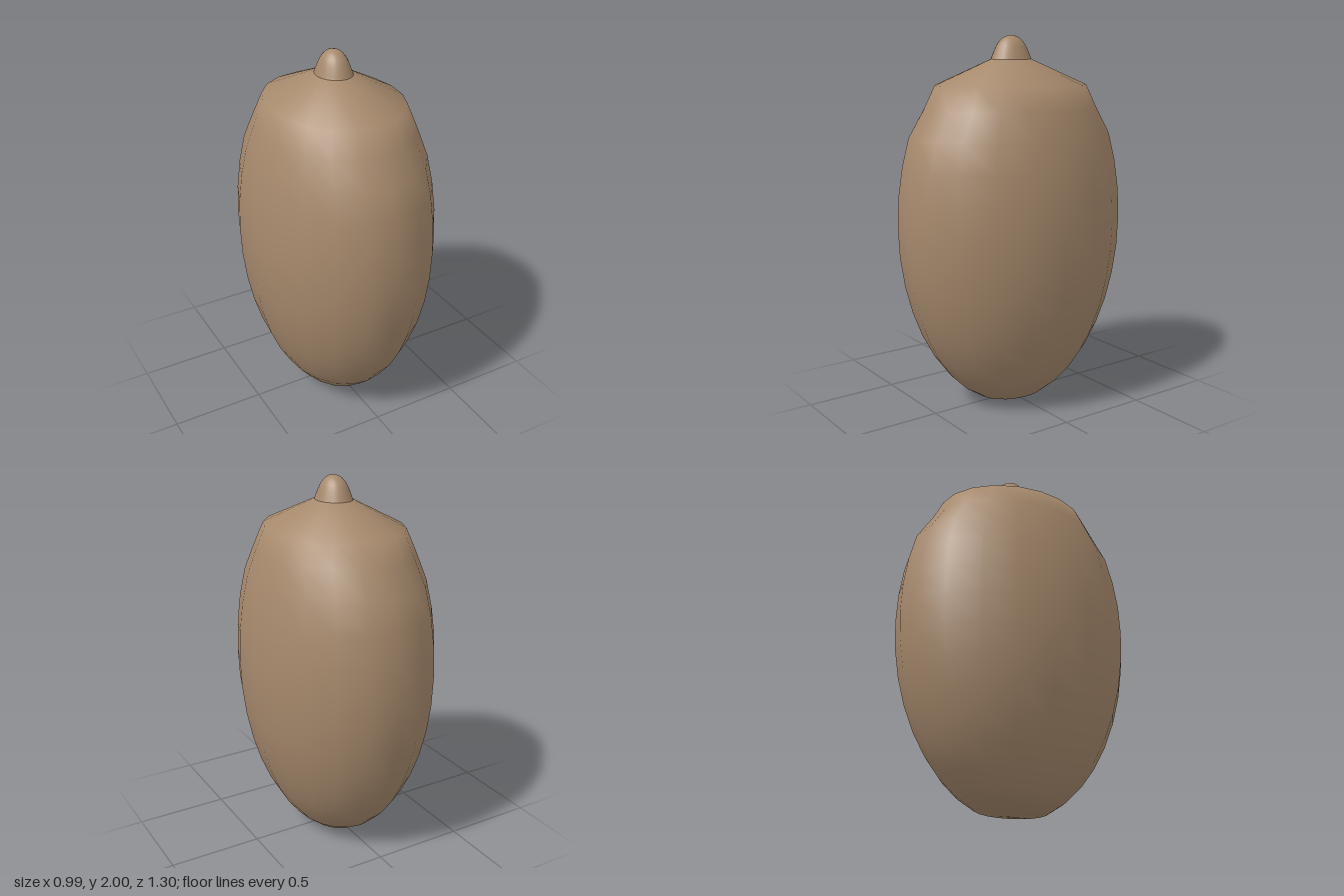
import * as THREE from 'three';
import { mergeVertices } from 'three/addons/utils/BufferGeometryUtils.js';

const material = new THREE.MeshStandardMaterial({ color: 0xa6896c });

// Lathe a unit profile, stretch it to an oval footprint and smooth across the seam
function ovalLathe(points, segments, width, depthAt) {
  const lathe = new THREE.LatheGeometry(points, segments);
  lathe.deleteAttribute('normal');
  lathe.deleteAttribute('uv');
  const pos = lathe.attributes.position;
  for (let i = 0; i < pos.count; i++) {
    pos.setX(i, pos.getX(i) * width);
    pos.setZ(i, pos.getZ(i) * depthAt(pos.getY(i)));
  }
  const geometry = mergeVertices(lathe, 1e-4);
  geometry.computeVertexNormals();
  return geometry;
}

function addPart(group, name, geometry) {
  const mesh = new THREE.Mesh(geometry, material);
  mesh.name = name;
  group.add(mesh);
}

export function createModel() {
  const group = new THREE.Group();
  group.name = 'pod';

  // Egg-shaped body: flattened bottom, rings every 9 degrees, shallow cone on top
  const centreY = 1.013, radiusY = 1.03;
  const profile = [new THREE.Vector2(0, 0.005)];
  for (let degrees = 18; degrees <= 135; degrees += 9) {
    const a = THREE.MathUtils.degToRad(degrees);
    profile.push(new THREE.Vector2(Math.sin(a), centreY - radiusY * Math.cos(a)));
  }
  profile.push(new THREE.Vector2(0.2, 1.872), new THREE.Vector2(0, 1.92));
  // The shoulder is pinched front to back
  addPart(group, 'body', ovalLathe(profile, 20, 0.493, y => (y > 1.55 ? 0.607 : 0.649)));

  // Rounded tip with a slightly flared foot
  const tip = new THREE.SplineCurve([
    [1.15, 1.845], [1, 1.872], [0.86, 1.91], [0.66, 1.955], [0.36, 1.988], [0, 2],
  ].map(([r, y]) => new THREE.Vector2(r, y))).getPoints(15);
  tip[tip.length - 1].x = 0;
  addPart(group, 'tip', ovalLathe(tip, 20, 0.095, () => 0.116));

  return group;
}
